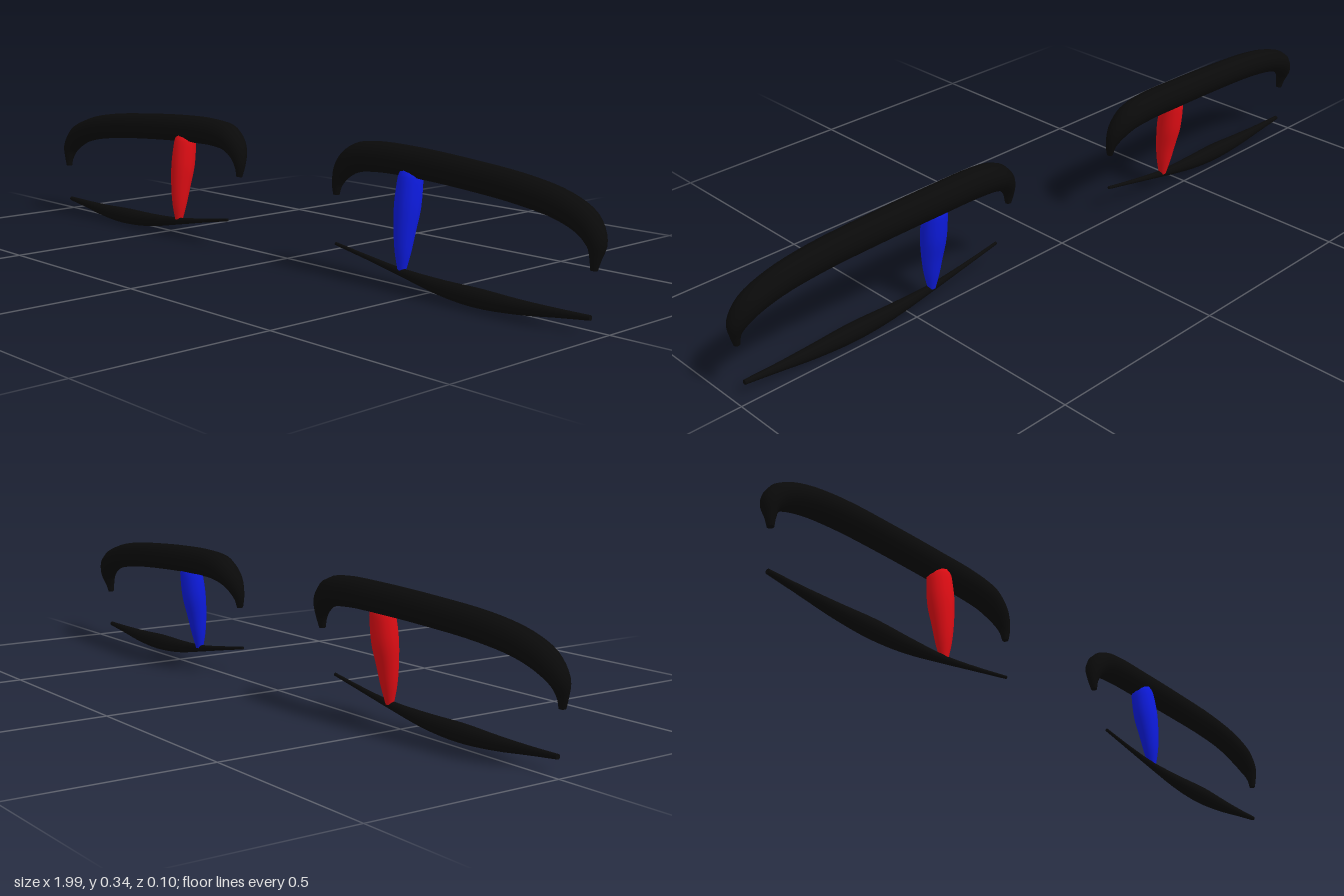
import * as THREE from 'three';

// Sections along each part: [x, y, z, radius], for the +x eye
const UPPER_LID = [
  [0.187, 0.195, 0.005, 0.008], [0.188, 0.225, 0.002, 0.015], [0.205, 0.262, -0.004, 0.027],
  [0.245, 0.292, -0.01, 0.036], [0.31, 0.302, -0.012, 0.038], [0.43, 0.302, -0.012, 0.038],
  [0.6, 0.294, -0.005, 0.037], [0.77, 0.28, 0.004, 0.036], [0.88, 0.26, 0.009, 0.034],
  [0.945, 0.232, 0.014, 0.031], [0.974, 0.197, 0.021, 0.023], [0.977, 0.165, 0.027, 0.013],
  [0.975, 0.14, 0.029, 0.008],
];
const LOWER_LID = [
  [0.21, 0.078, 0.028, 0.004], [0.32, 0.06, 0.026, 0.006], [0.43, 0.043, 0.026, 0.01],
  [0.56, 0.029, 0.029, 0.019], [0.67, 0.025, 0.031, 0.023], [0.78, 0.026, 0.03, 0.018],
  [0.88, 0.032, 0.028, 0.011], [0.97, 0.038, 0.027, 0.006],
];
const PUPIL = [
  [0.43, 0.28, -0.005, 0.027], [0.43, 0.265, -0.002, 0.031], [0.43, 0.2, 0.007, 0.033],
  [0.43, 0.14, 0.016, 0.027], [0.43, 0.09, 0.021, 0.02], [0.43, 0.045, 0.024, 0.01],
];

// Sweeps a round section of changing radius along the stations and closes both ends
function taperedTube(stations, side, steps, sides) {
  const path = new THREE.CatmullRomCurve3(
    stations.map(([x, y, z]) => new THREE.Vector3(side * x, y, z)), false, 'centripetal');
  const radii = new THREE.CatmullRomCurve3(
    stations.map((s, i) => new THREE.Vector3(i, s[3], 0)), false, 'centripetal');
  const positions = [], index = [];
  const forward = new THREE.Vector3(0, 0, 1);
  for (let i = 0; i <= steps; i++) {
    const u = i / steps;
    const c = path.getPoint(u), t = path.getTangent(u), r = radii.getPoint(u).y;
    const n = new THREE.Vector3().crossVectors(forward, t).normalize();
    const b = new THREE.Vector3().crossVectors(t, n);
    for (let j = 0; j < sides; j++) {
      const a = (j / sides) * Math.PI * 2;
      const p = c.clone().addScaledVector(n, r * Math.cos(a)).addScaledVector(b, r * Math.sin(a));
      positions.push(p.x, p.y, p.z);
      if (i < steps) {
        const k = (j + 1) % sides, p0 = i * sides, p1 = p0 + sides;
        index.push(p0 + j, p0 + k, p1 + j, p0 + k, p1 + k, p1 + j);
      }
    }
  }
  // Flat end caps with their own vertices
  for (const end of [0, steps]) {
    const first = positions.length / 3;
    const ring = positions.slice(end * sides * 3, (end + 1) * sides * 3);
    positions.push(...ring);
    for (let j = 1; j < sides - 1; j++) {
      if (end === 0) index.push(first, first + j + 1, first + j);
      else index.push(first, first + j, first + j + 1);
    }
  }
  const geometry = new THREE.BufferGeometry();
  geometry.setAttribute('position', new THREE.Float32BufferAttribute(positions, 3));
  geometry.setIndex(index);
  geometry.computeVertexNormals();
  return geometry;
}

export function createModel() {
  const model = new THREE.Group();
  model.name = 'eyes';
  const black = new THREE.MeshStandardMaterial({ color: 0x0a0a0a });
  const blue = new THREE.MeshStandardMaterial({ color: 0x0d1be0 });
  const red = new THREE.MeshStandardMaterial({ color: 0xe00d14 });

  for (const side of [1, -1]) {
    const eye = new THREE.Group();
    eye.name = side > 0 ? 'leftEye' : 'rightEye';
    const add = (name, stations, material, steps) => {
      const mesh = new THREE.Mesh(taperedTube(stations, side, steps, 12), material);
      mesh.name = name;
      eye.add(mesh);
    };
    add('upperLid', UPPER_LID, black, 48);
    add('lowerLid', LOWER_LID, black, 28);
    add('pupil', PUPIL, side > 0 ? blue : red, 20);
    model.add(eye);
  }
  return model;
}
